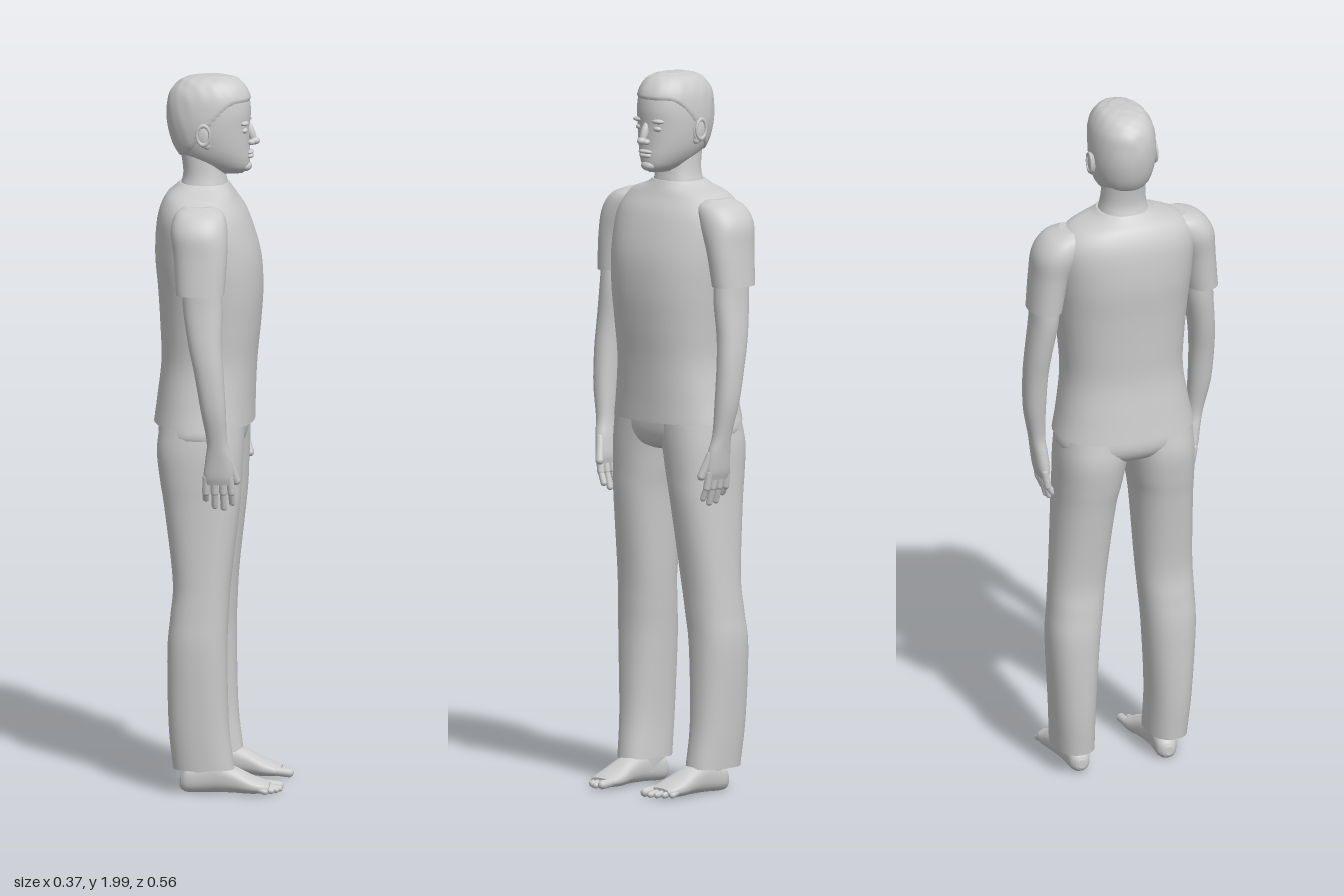
import * as THREE from 'three';

const V = (x, y, z) => new THREE.Vector3(x, y, z);

// Smooth body through cross-sections [height, x0, x1, z0, z1], listed from top to bottom.
function loft(rows, n = 2.2, steps = 6, segs = 36) {
  const curve = (f) => new THREE.CatmullRomCurve3(rows.map(f), false, 'catmullrom', 0.5);
  const low = curve((r) => V(r[1], r[0], r[3])), high = curve((r) => V(r[2], r[0], r[4]));
  const count = (rows.length - 1) * steps, pos = [], idx = [];
  const pw = (v) => Math.sign(v) * Math.abs(v) ** (2 / n);
  const ring = (t) => {
    const a = low.getPoint(t), b = high.getPoint(t);
    for (let j = 0; j < segs; j++) {
      const q = (j / segs) * Math.PI * 2;
      pos.push((a.x + b.x + (b.x - a.x) * pw(Math.cos(q))) / 2, a.y,
        (a.z + b.z + (b.z - a.z) * pw(Math.sin(q))) / 2);
    }
    return a.add(b).multiplyScalar(0.5);
  };
  for (let i = 0; i <= count; i++) ring(i / count);
  for (let i = 0; i < count; i++) for (let j = 0; j < segs; j++) {
    const k = (j + 1) % segs, a = i * segs + j, b = i * segs + k;
    idx.push(a, b, a + segs, b, b + segs, a + segs);
  }
  // End caps on their own vertices keep hems crisp
  for (const t of [0, 1]) {
    const s = pos.length / 3, c = ring(t), m = s + segs;
    pos.push(c.x, c.y, c.z);
    for (let j = 0; j < segs; j++) {
      const a = s + j, b = s + (j + 1) % segs;
      if (t) idx.push(m, a, b); else idx.push(m, b, a);
    }
  }
  const g = new THREE.BufferGeometry();
  g.setAttribute('position', new THREE.Float32BufferAttribute(pos, 3));
  g.setIndex(idx);
  g.computeVertexNormals();
  return g;
}

// Mirrors sections to the other side of the body, with an optional sideways shift
const sided = (rows, s, shift = () => 0) => s > 0 ? rows
  : rows.map(([y, a, b, c, d]) => [y, a, b, -d - shift(y), -c - shift(y)]);
const even = (rows) => rows.map(([y, a, b, w]) => [y, a, b, -w, w]);

export function createModel() {
  const model = new THREE.Group();
  const grey = new THREE.MeshStandardMaterial({ color: 0xcccccc });
  grey.name = 'lightGrey';
  const add = (name, geo, parent = model) => {
    const m = new THREE.Mesh(geo, grey);
    m.name = name;
    parent.add(m);
    return m;
  };
  const group = (name) => {
    const g = new THREE.Group();
    g.name = name;
    model.add(g);
    return g;
  };
  const blob = (name, p, r, parent, tilt = 0) => {
    const m = add(name, new THREE.SphereGeometry(1, 20, 14), parent);
    m.position.set(...p);
    m.scale.set(...r);
    m.rotation.z = tilt;
  };
  const digit = (name, a, b, r, parent) => {
    const d = b.clone().sub(a);
    const m = add(name, new THREE.CapsuleGeometry(r, d.length(), 6, 12), parent);
    m.position.copy(a).add(b).multiplyScalar(0.5);
    m.quaternion.setFromUnitVectors(V(0, 1, 0), d.normalize());
  };

  // Head and neck, facing +x
  const head = group('head');
  const skull = even([
    [1.99, -0.065, 0.01, 0.025], [1.978, -0.11, 0.045, 0.058], [1.945, -0.141, 0.071, 0.079],
    [1.9, -0.15, 0.079, 0.087], [1.85, -0.147, 0.076, 0.087], [1.8, -0.132, 0.076, 0.079],
    [1.765, -0.105, 0.077, 0.065], [1.738, -0.06, 0.073, 0.045], [1.722, -0.02, 0.058, 0.022]]);
  add('face', loft(skull, 2.15), head);
  add('neck', loft(even([[1.81, -0.12, 0.0, 0.058], [1.73, -0.108, 0.008, 0.062],
    [1.69, -0.115, 0.015, 0.07], [1.65, -0.13, 0.02, 0.08]])), head);

  // Hair: the skull swollen above the hairline and sunk below it
  const hair = loft(skull, 2.15, 12, 72), p = hair.attributes.position, mid = V(-0.035, 1.87, 0);
  for (let i = 0; i < p.count; i++) {
    const v = V(0, 0, 0).fromBufferAttribute(p, i);
    const line = 1.765 + 0.16 * THREE.MathUtils.smoothstep(v.x, -0.13, 0.05);
    const k = THREE.MathUtils.smoothstep(v.y, line - 0.008, line + 0.008);
    const wave = 0.006 * Math.sin(v.x * 160 + v.y * 60) * Math.sin(v.z * 110);
    v.sub(mid).multiplyScalar(0.93 + k * (0.105 + wave)).add(mid);
    p.setXYZ(i, v.x, Math.min(v.y, 2), v.z);
  }
  hair.computeVertexNormals();
  add('hair', hair, head);

  // Facial features
  blob('noseBridge', [0.079, 1.835, 0], [0.012, 0.034, 0.011], head, 0.35);
  blob('noseTip', [0.089, 1.812, 0], [0.015, 0.011, 0.014], head);
  blob('upperLip', [0.077, 1.781, 0], [0.01, 0.006, 0.026], head);
  blob('lowerLip', [0.077, 1.77, 0], [0.01, 0.007, 0.022], head);
  blob('chin', [0.064, 1.741, 0], [0.018, 0.015, 0.024], head);
  for (const s of [1, -1]) {
    blob('eye', [0.063, 1.846, s * 0.034], [0.011, 0.008, 0.015], head);
    blob('brow', [0.064, 1.867, s * 0.036], [0.013, 0.007, 0.023], head);
    blob('nostril', [0.081, 1.809, s * 0.011], [0.011, 0.008, 0.008], head);
    blob('ear', [-0.043, 1.838, s * 0.09], [0.021, 0.034, 0.009], head, 0.15);
    blob('earLobe', [-0.034, 1.812, s * 0.087], [0.01, 0.012, 0.008], head);
    const rim = add('earRim', new THREE.TorusGeometry(0.018, 0.004, 8, 20), head);
    rim.position.set(-0.044, 1.842, s * 0.097);
    rim.scale.set(1, 1.5, 1);
  }

  // Shirt
  const shirt = group('shirt');
  add('shirtBody', loft(even([
    [1.695, -0.118, 0.018, 0.073], [1.682, -0.132, 0.025, 0.095], [1.655, -0.158, 0.04, 0.165],
    [1.6, -0.178, 0.072, 0.2], [1.5, -0.184, 0.104, 0.197], [1.4, -0.176, 0.112, 0.187],
    [1.3, -0.17, 0.106, 0.177], [1.2, -0.167, 0.096, 0.172], [1.1, -0.178, 0.091, 0.186],
    [1.03, -0.187, 0.09, 0.2]]), 2.3), shirt);

  // Hips
  add('trouserHips', loft(even([[1.06, -0.17, 0.075, 0.185], [1.0, -0.174, 0.07, 0.194],
    [0.965, -0.155, 0.055, 0.15], [0.95, -0.12, 0.03, 0.06]]), 2.4));

  for (const s of [1, -1]) {
    const side = s > 0 ? 'left' : 'right';
    // Sleeve, arm and hand
    add(side + 'Sleeve', loft(sided([
      [1.655, -0.09, -0.01, 0.13, 0.185], [1.635, -0.115, 0.02, 0.115, 0.232],
      [1.59, -0.125, 0.032, 0.13, 0.262], [1.52, -0.115, 0.033, 0.165, 0.269],
      [1.42, -0.107, 0.026, 0.184, 0.277]], s)), shirt);
    const arm = group(side + 'Arm');
    add('arm', loft(sided([
      [1.46, -0.09, 0.015, 0.19, 0.265], [1.38, -0.088, 0.021, 0.19, 0.268],
      [1.28, -0.072, 0.021, 0.205, 0.277], [1.2, -0.055, 0.026, 0.212, 0.28],
      [1.1, -0.038, 0.032, 0.213, 0.275], [1.01, -0.022, 0.035, 0.211, 0.257],
      [0.96, -0.026, 0.047, 0.204, 0.248], [0.91, -0.032, 0.051, 0.199, 0.24],
      [0.885, -0.028, 0.045, 0.202, 0.232]], s)), arm);
    [-0.024, -0.002, 0.02, 0.041].forEach((x, i) => {
      const tip = [0.842, 0.822, 0.818, 0.832][i], bend = V(x * 1.08, 0.862, s * 0.213);
      digit('finger', V(x, 0.905, s * 0.221), bend, 0.0105, arm);
      digit('fingerTip', bend, V(x * 1.12, tip, s * 0.2), 0.009, arm);
    });
    digit('thumb', V(0.038, 0.955, s * 0.222), V(0.057, 0.895, s * 0.205), 0.012, arm);

    // Trouser leg; the right one stands slightly wider
    const shift = (y) => 0.022 * THREE.MathUtils.clamp((0.9 - y) / 0.5, 0, 1);
    add(side + 'TrouserLeg', loft(sided([
      [1.03, -0.165, 0.07, -0.02, 0.19], [0.96, -0.172, 0.068, 0.0, 0.197],
      [0.88, -0.163, 0.064, 0.015, 0.198], [0.8, -0.15, 0.059, 0.028, 0.197],
      [0.6, -0.126, 0.036, 0.042, 0.199], [0.5, -0.132, 0.029, 0.05, 0.202],
      [0.4, -0.14, 0.026, 0.058, 0.204], [0.2, -0.137, 0.03, 0.07, 0.192],
      [0.07, -0.125, 0.045, 0.07, 0.182]], s, shift), 2.3));

    // Foot: lofted along its length, then laid forward
    const foot = group(side + 'Foot');
    add('ankle', loft([[0.16, -0.09, 0.0, s * 0.115 - 0.035, s * 0.115 + 0.035],
      [0.08, -0.095, 0.01, s * 0.115 - 0.033, s * 0.115 + 0.033],
      [0.03, -0.098, 0.03, s * 0.115 - 0.03, s * 0.115 + 0.03]]), foot);
    const sole = loft(sided([
      [0.142, -0.028, -0.006, 0.072, 0.15], [0.125, -0.036, -0.002, 0.066, 0.16],
      [0.09, -0.05, 0, 0.066, 0.165], [0.04, -0.075, -0.002, 0.076, 0.16],
      [-0.02, -0.09, -0.002, 0.084, 0.15], [-0.08, -0.075, 0, 0.084, 0.146],
      [-0.1, -0.055, -0.006, 0.094, 0.136], [-0.107, -0.04, -0.015, 0.105, 0.125]], s), 2.4);
    add('sole', sole.rotateZ(-Math.PI / 2), foot);
    [0.079, 0.103, 0.122, 0.139, 0.154].forEach((z, i) => {
      const r = i ? 0.0085 : 0.0125, end = [0.165, 0.168, 0.16, 0.148, 0.132][i];
      digit('toe', V(0.1, 0.022, s * z), V(end, r + 0.002, s * z), r, foot);
    });
    if (s < 0) foot.position.set(0.01, 0, -0.024);
  }
  return model;
}
